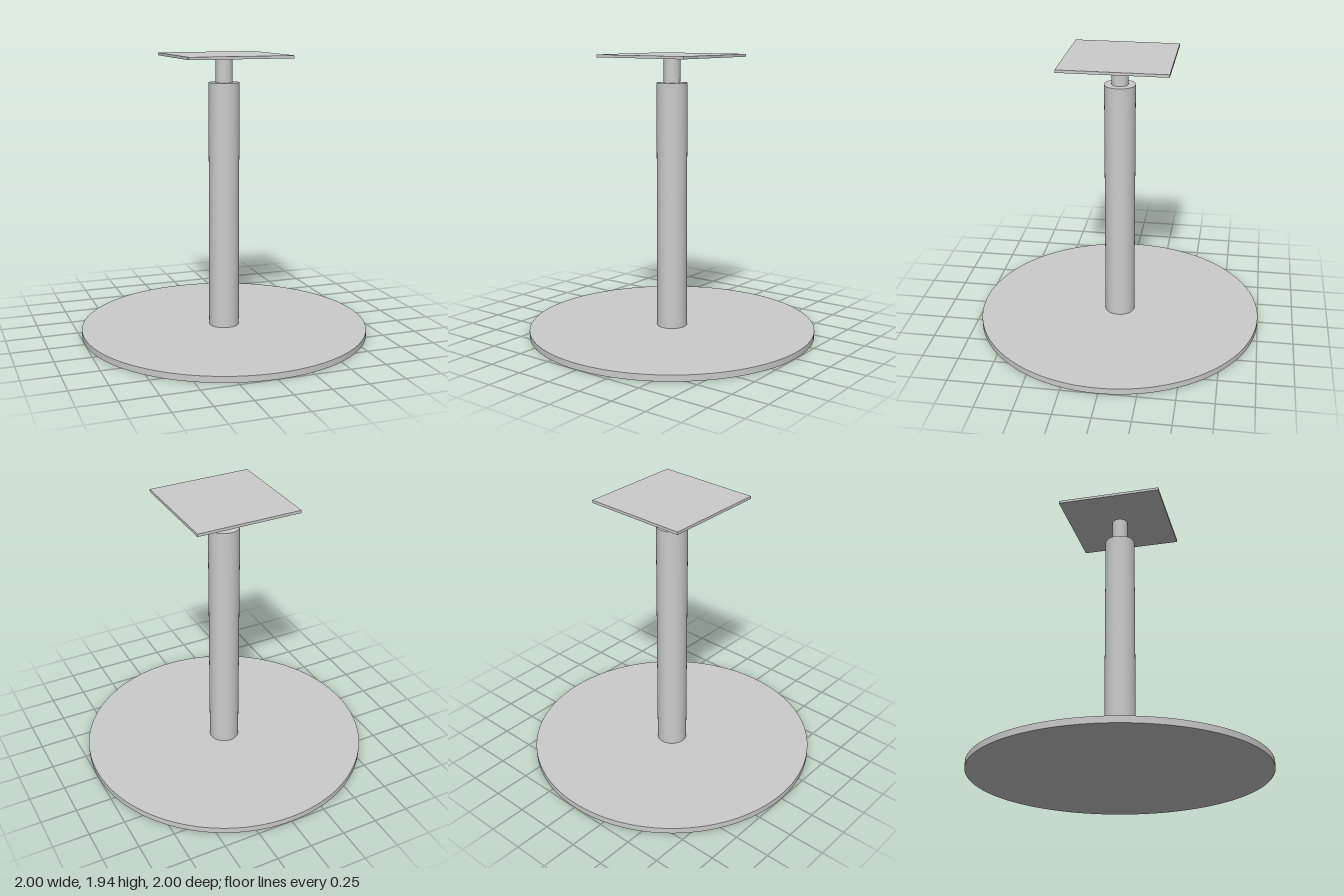
import * as THREE from 'three';

export function createModel() {
  const model = new THREE.Group();
  model.name = 'pedestal';
  const material = new THREE.MeshStandardMaterial({ color: 0xcccccc });

  // Adds a part spanning the heights y0 to y1
  function addPart(name, geometry, y0, y1) {
    const mesh = new THREE.Mesh(geometry, material);
    mesh.name = name;
    mesh.position.y = (y0 + y1) / 2;
    model.add(mesh);
  }
  const addDisc = (name, radius, y0, y1, sides) =>
    addPart(name, new THREE.CylinderGeometry(radius, radius, y1 - y0, sides), y0, y1);

  // Round floor plate, main column and the thinner neck above it
  addDisc('basePlate', 1, 0, 0.042, 128);
  addDisc('column', 0.105, 0.042, 1.748, 64);
  addDisc('neck', 0.056, 1.748, 1.919, 48);

  // Square mounting plate
  addPart('topPlate', new THREE.BoxGeometry(0.72, 0.019, 0.72), 1.919, 1.938);

  return model;
}
